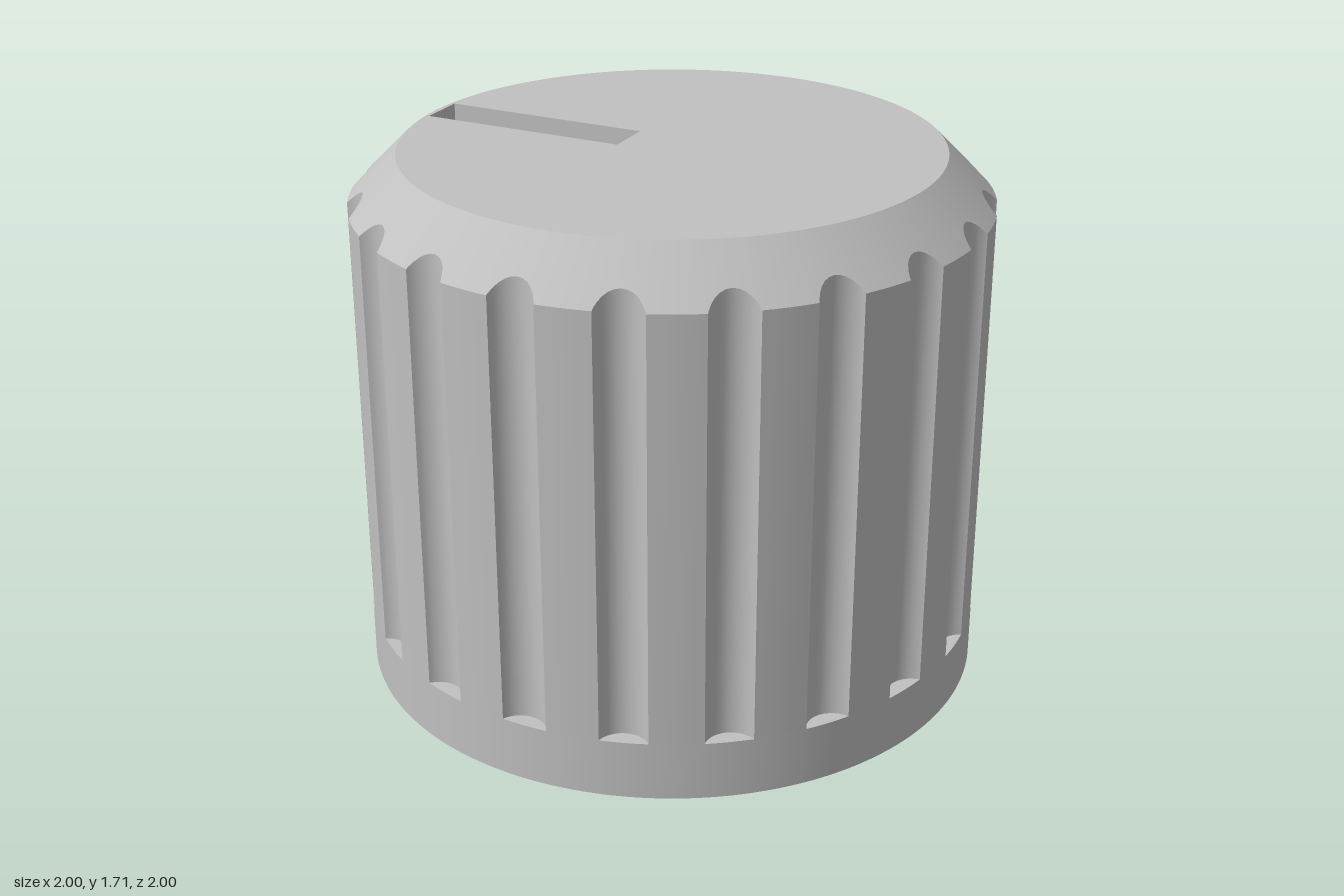
import * as THREE from 'three';
import { toCreasedNormals } from 'three/addons/utils/BufferGeometryUtils.js';

const TURN = Math.PI * 2;
const RIBS = 20;                    // number of grip grooves
const GROOVE_C = 1.03, GROOVE_R = 0.081;
const SHOULDER = 1.555, TOP = 1.71, TOP_R = 0.845;
const BORE_R = 0.47, FLAT = 0.21;

// Closed ring of points at the given angles; radius and height may vary with angle.
function ring(angles, radius, height) {
  return angles.map((a) => {
    const r = typeof radius === 'function' ? radius(a) : radius;
    const y = typeof height === 'function' ? height(a) : height;
    return new THREE.Vector3(Math.cos(a) * r, y, Math.sin(a) * r);
  });
}

// Skin a list of rings; going up the outside faces outward.
function loft(rings) {
  const pos = [];
  const area = new THREE.Triangle();
  const tri = (a, b, c) => {
    if (area.set(a, b, c).getArea() > 1e-8) for (const p of [a, b, c]) pos.push(p.x, p.y, p.z);
  };
  for (let k = 0; k + 1 < rings.length; k++) {
    const lo = rings[k], hi = rings[k + 1], n = lo.length;
    for (let i = 0; i < n; i++) {
      const j = (i + 1) % n;
      tri(lo[i], hi[i], lo[j]);
      tri(lo[j], hi[i], hi[j]);
    }
  }
  const g = new THREE.BufferGeometry();
  g.setAttribute('position', new THREE.Float32BufferAttribute(pos, 3));
  return toCreasedNormals(g, 0.5);
}

export function createModel() {
  const knob = new THREE.Group();
  knob.name = 'controlKnob';
  const grey = new THREE.MeshStandardMaterial({ color: 0xc0c0c0 });
  grey.name = 'grey';
  const add = (name, geometry) => {
    const m = new THREE.Mesh(geometry, grey);
    m.name = name;
    knob.add(m);
  };

  // Sample angles: fine across each groove, a few on the land between
  const step = TURN / RIBS;
  const edge = Math.acos((1 + GROOVE_C ** 2 - GROOVE_R ** 2) / (2 * GROOVE_C));
  const angles = [];
  for (let k = 0; k < RIBS; k++) {
    for (let i = 0; i <= 12; i++) angles.push(k * step - edge * Math.cos((i / 12) * Math.PI));
    for (let i = 1; i < 4; i++) angles.push(k * step + edge + (i / 4) * (step - 2 * edge));
  }
  const grooved = (a) => {
    const d = a - Math.round(a / step) * step;
    if (Math.abs(d) >= edge - 1e-6) return 1;
    return GROOVE_C * Math.cos(d) - Math.sqrt(GROOVE_R ** 2 - (GROOVE_C * Math.sin(d)) ** 2);
  };
  const grooveTop = (a) => SHOULDER + 1 - grooved(a);

  // Outer shell
  add('baseBand', loft([ring(angles, 1, 0), ring(angles, 1, 0.19), ring(angles, grooved, 0.19)]));
  add('gripWall', loft([ring(angles, grooved, 0.19), ring(angles, grooved, grooveTop)]));
  add('chamfer', loft([ring(angles, grooved, grooveTop), ring(angles, TOP_R, TOP)]));

  // Top face with the pointer slot cut through it
  const slot = [[-0.83, -0.077], [-0.15, -0.077], [-0.15, 0.077], [-0.83, 0.077]];
  const face = new THREE.Shape(angles.map((a) => new THREE.Vector2(Math.cos(a) * TOP_R, Math.sin(a) * TOP_R)));
  face.holes.push(new THREE.Path(slot.map(([x, y]) => new THREE.Vector2(x, y))));
  const faceGeo = new THREE.ShapeGeometry(face);
  faceGeo.rotateX(-Math.PI / 2).translate(0, TOP, 0);
  add('topFace', faceGeo);

  // Recessed pointer slot
  const slotRing = (y) => slot.map(([x, z]) => new THREE.Vector3(x, y, z));
  const slotFloor = TOP - 0.1;
  const slotCentre = slot.map(() => new THREE.Vector3(-0.49, slotFloor, 0));
  add('pointerSlot', loft([slotRing(TOP), slotRing(slotFloor), slotCentre]));

  // Underside, counterbore and the round part of the shaft hole
  const corner = Math.acos(-FLAT / BORE_R);
  const round = [];
  for (let i = 0; i < 64; i++) round.push(-corner + (i / 64) * 2 * corner);
  for (let i = 0; i < 32; i++) round.push(corner + (i / 32) * (TURN - 2 * corner));
  add('underside', loft([ring(angles, 0.59, 0), ring(angles, 1, 0)]));
  add('counterbore', loft([ring(round, BORE_R, 0.21), ring(round, 0.59, 0.21), ring(round, 0.59, 0)]));
  add('shaftHole', loft([ring(round, BORE_R, 0.47), ring(round, BORE_R, 0.21)]));

  // D-shaped upper part of the shaft hole, with its flat under the pointer
  const dRadius = (a) => (Math.cos(a) < 0 ? Math.min(BORE_R, -FLAT / Math.cos(a)) : BORE_R);
  add('shaftFlat', loft([
    ring(round, 0, 1.3), ring(round, dRadius, 1.3),
    ring(round, dRadius, 0.47), ring(round, BORE_R, 0.47),
  ]));

  knob.rotation.y = THREE.MathUtils.degToRad(-12.8);
  const model = new THREE.Group();
  model.name = 'knobModel';
  model.add(knob);
  return model;
}
